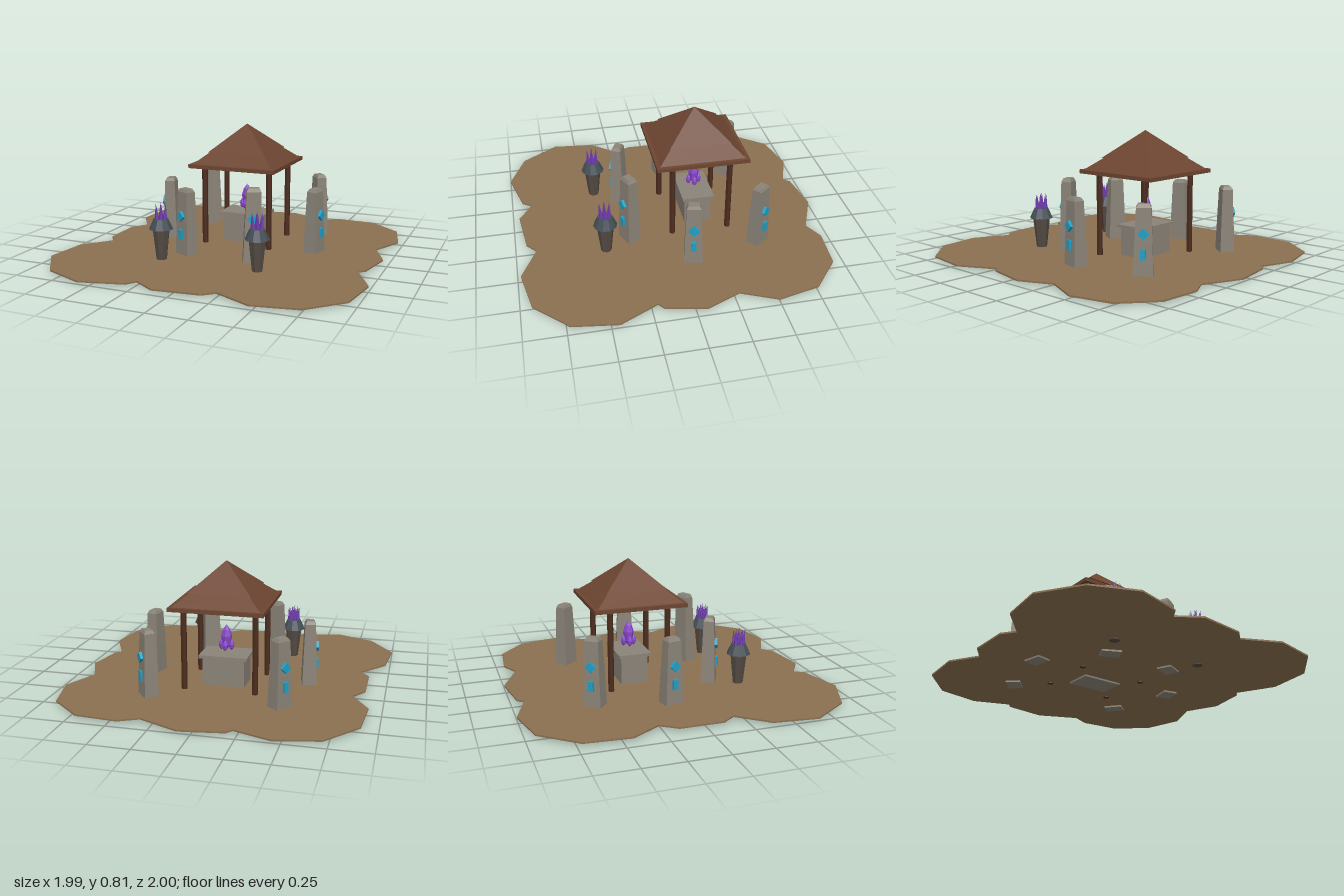
import * as THREE from 'three';

const mat = (name, color) => {
  const m = new THREE.MeshStandardMaterial({ color, flatShading: true });
  m.name = name;
  return m;
};

export function createModel() {
  const dirt = mat('dirt', 0x8b7050);
  const roofWood = mat('roof wood', 0x6d4531);
  const postWood = mat('post wood', 0x4c2c1e);
  const stone = mat('stone', 0x8a8378);
  const rune = mat('rune blue', 0x20a0c4);
  const crystal = mat('crystal purple', 0x8a48cc);
  const spikeMat = mat('spike purple', 0x6f3cae);
  const pillar = mat('pillar brown grey', 0x544b44);
  const slate = mat('slate', 0x454e56);

  const model = new THREE.Group();
  model.name = 'shrine';
  const add = (parent, name, geo, material, x = 0, y = 0, z = 0) => {
    const mesh = new THREE.Mesh(geo, material);
    mesh.name = name;
    mesh.position.set(x, y, z);
    parent.add(mesh);
    return mesh;
  };
  const group = (name, x, z) => {
    const g = new THREE.Group();
    g.name = name;
    g.position.set(x, 0, z);
    model.add(g);
    return g;
  };

  // Ground: ragged outline of x, z points
  const outline = [
    [-.72, -.94], [-.45, -1], [-.22, -.92], [-.19, -.96], [.08, -1], [.33, -.89], [.45, -.95],
    [.71, -.93], [.91, -.76], [.97, -.5], [.87, -.28], [.96, -.07], [.91, .18], [.87, .21],
    [.99, .45], [.95, .73], [.75, .93], [.47, .98], [.24, .87], [.17, .93], [-.12, .96],
    [-.26, .87], [-.3, .93], [-.58, 1], [-.84, .89], [-1, .65], [-.97, .37], [-.82, .19],
    [-.88, .11], [-.88, -.16], [-.81, -.26], [-.92, -.44], [-.9, -.72],
  ];
  const shape = new THREE.Shape(outline.map(([x, z]) => new THREE.Vector2(x, -z)));
  const groundGeo = new THREE.ExtrudeGeometry(shape, { depth: 0.01, bevelEnabled: false });
  add(model, 'ground', groundGeo.rotateX(-Math.PI / 2), dirt, 0, 0.011, 0);

  // Pavilion: four posts, eave slab and two-tier roof
  const pavilion = group('pavilion', -0.003, -0.195);
  for (const sx of [-1, 1]) for (const sz of [-1, 1]) {
    add(pavilion, 'post', new THREE.CylinderGeometry(0.019, 0.019, 0.54, 6), postWood, sx * 0.225, 0.275, sz * 0.184);
  }
  add(pavilion, 'eaveSlab', new THREE.BoxGeometry(0.588, 0.024, 0.588), roofWood, 0, 0.552, 0);
  const pyramid = (top, base, height) =>
    new THREE.CylinderGeometry(top * Math.SQRT2, base * Math.SQRT2, height, 4).rotateY(Math.PI / 4);
  add(pavilion, 'lowerRoof', pyramid(0.175, 0.272, 0.08), roofWood, 0, 0.604, 0);
  add(pavilion, 'upperRoof', pyramid(0, 0.196, 0.175), roofWood, 0, 0.7225, 0);

  // Altar with floating crystal cluster
  const altar = group('altar', -0.003, -0.2);
  add(altar, 'altarBase', new THREE.BoxGeometry(0.27, 0.2, 0.175), stone, 0, 0.1, 0);
  add(altar, 'altarTop', new THREE.BoxGeometry(0.31, 0.02, 0.21), stone, 0, 0.209, 0);
  const gem = (r, h) => new THREE.LatheGeometry([
    new THREE.Vector2(0, 0), new THREE.Vector2(r * 0.75, h * 0.18), new THREE.Vector2(r, h * 0.55),
    new THREE.Vector2(r * 0.65, h * 0.8), new THREE.Vector2(0, h),
  ], 6);
  add(altar, 'mainCrystal', gem(0.036, 0.162), crystal, 0, 0.24, 0);
  for (let i = 0; i < 4; i++) {
    const a = i * Math.PI / 2;
    add(altar, 'smallCrystal', gem(0.018, 0.07), crystal, 0.033 * Math.sin(a), 0.235, 0.033 * Math.cos(a));
  }

  // Standing stones: tapered blocks with chamfered tops, runes facing outward
  const sections = [[0.12, 0.092, 0], [0.104, 0.08, 0.5], [0.088, 0.066, 0.955], [0.066, 0.046, 1]];
  const stoneGeo = (height, lean) => {
    const geo = new THREE.BoxGeometry(1, 1, 1, 1, 3, 1);
    const p = geo.attributes.position;
    for (let i = 0; i < p.count; i++) {
      const [w, d, t] = sections[Math.round((p.getY(i) + 0.5) * 3)];
      p.setXYZ(i, p.getX(i) * w + lean * t, t * height, p.getZ(i) * d);
    }
    geo.computeVertexNormals();
    return geo;
  };
  const stones = [
    [-0.41, -0.53, 0.445, 0], [0.405, -0.53, 0.437, 0.003], [-0.515, -0.085, 0.43, 0.004],
    [0.508, -0.085, 0.435, -0.003], [-0.23, 0.27, 0.445, 0], [0.217, 0.27, 0.487, 0.008],
  ];
  for (const [x, z, h, lean] of stones) {
    const g = group('standingStone', x, z);
    g.rotation.y = Math.atan2(x, z + 0.2);
    add(g, 'stoneBlock', stoneGeo(h, lean), stone);
    add(g, 'runeBar', new THREE.BoxGeometry(0.032, 0.062, 0.02), rune, 0, h * 0.345, 0.046);
    const diamond = add(g, 'runeDiamond', new THREE.BoxGeometry(0.048, 0.048, 0.02), rune, 0, h * 0.61, 0.046);
    diamond.rotation.z = Math.PI / 4;
  }

  // Braziers: flared pillar, slate collar and crystal spikes
  for (const x of [-0.325, 0.313]) {
    const g = group('brazier', x, 0.435);
    add(g, 'brazierPillar', new THREE.CylinderGeometry(0.055, 0.032, 0.21, 8), pillar, 0, 0.11, 0);
    add(g, 'brazierCollar', new THREE.CylinderGeometry(0.046, 0.076, 0.065, 10), slate, 0, 0.2475, 0);
    add(g, 'spike', new THREE.ConeGeometry(0.017, 0.11, 5), spikeMat, 0, 0.33, 0);
    for (let i = 0; i < 6; i++) {
      const a = i * Math.PI / 3 + 0.5;
      const s = add(g, 'spike', new THREE.ConeGeometry(0.015, 0.1, 5), spikeMat, 0.032 * Math.sin(a), 0.322, 0.032 * Math.cos(a));
      s.rotation.set(0.08 * Math.cos(a), 0, -0.08 * Math.sin(a));
    }
  }

  return model;
}
